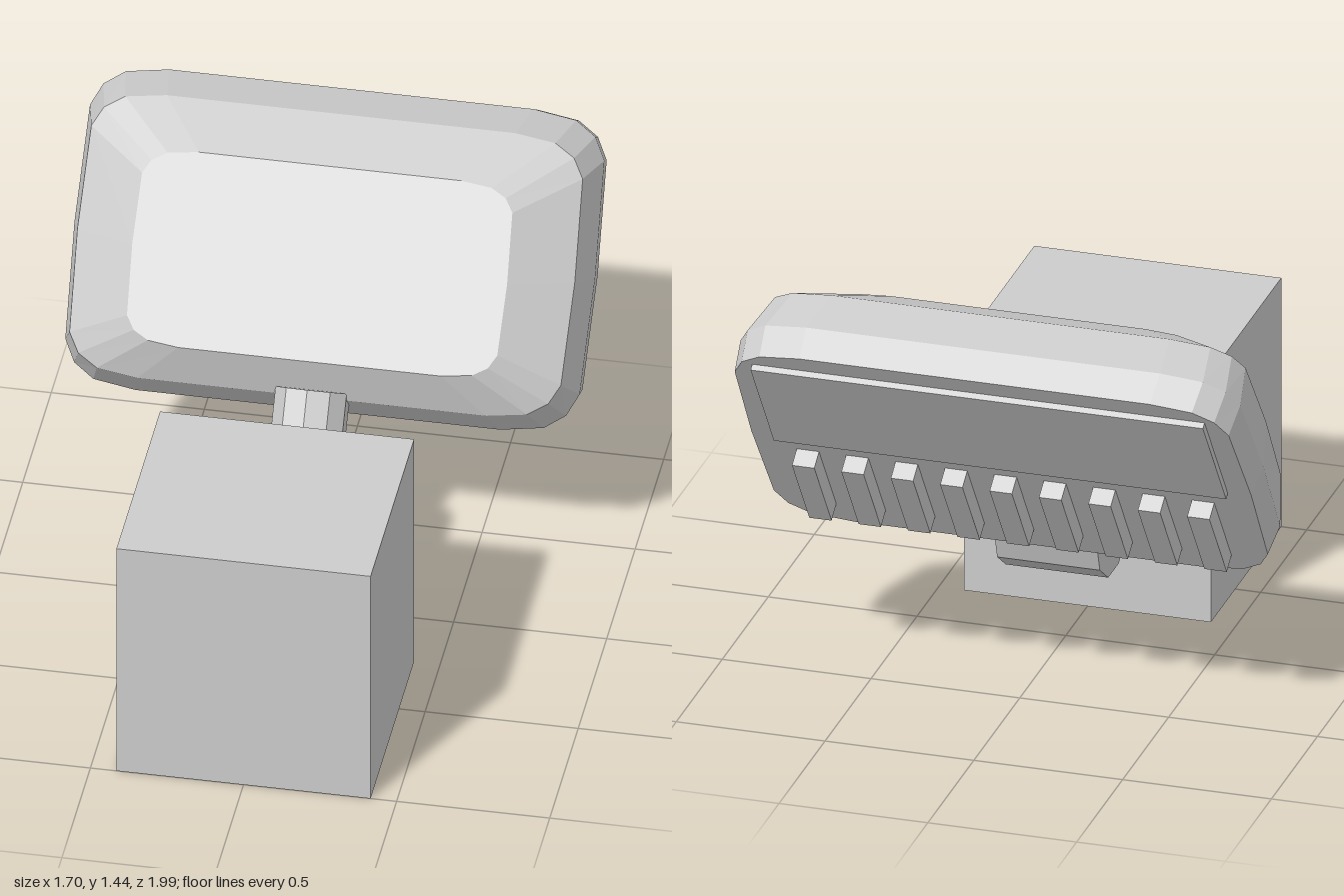
import * as THREE from 'three';

export function createModel() {
  const model = new THREE.Group();
  const grey = new THREE.MeshStandardMaterial({ color: 0xcccccc, flatShading: true });
  grey.name = 'light grey';

  const add = (parent, name, geometry, x, y, z) => {
    const mesh = new THREE.Mesh(geometry, grey);
    mesh.name = name;
    mesh.position.set(x, y, z);
    parent.add(mesh);
    return mesh;
  };

  // Mounting block and the arm that leaves its back
  add(model, 'mountingBlock', new THREE.BoxGeometry(0.83, 0.88, 0.765), 0, 0.44, 0.6175);
  const arm = add(model, 'horizontalArm', new THREE.CylinderGeometry(0.125, 0.125, 0.3, 10), 0, 0.445, 0.11);
  arm.rotation.x = Math.PI / 2;

  // Hinge drum across the model
  const hinge = add(model, 'hinge', new THREE.CylinderGeometry(0.183, 0.183, 0.345, 10), 0, 0.445, -0.04);
  hinge.rotation.z = Math.PI / 2;

  // Everything on the lamp leans back by 35 degrees
  const lamp = new THREE.Group();
  lamp.name = 'lamp';
  lamp.rotation.x = -THREE.MathUtils.degToRad(35);
  model.add(lamp);

  add(lamp, 'tiltedArm', new THREE.CylinderGeometry(0.122, 0.122, 0.315, 10), 0, 0.54, 0.223);

  // Housing: rounded rectangles lofted from back to front
  // each ring: [half width, bottom, top, depth]
  add(lamp, 'housing', loftHousing([
    [0.84, 0.649, 1.664, -0.047],
    [0.85, 0.632, 1.667, 0.069],
    [0.812, 0.675, 1.588, 0.243],
    [0.612, 0.789, 1.42, 0.362],
  ]), 0, 0, 0);

  // Back cover plate and cooling fins
  add(lamp, 'backPlate', new THREE.BoxGeometry(1.52, 0.441, 0.04), 0, 1.3695, -0.049);
  for (let i = -4; i <= 4; i++) {
    add(lamp, 'coolingFin', new THREE.BoxGeometry(0.075, 0.327, 0.08), i * 0.166, 0.9125, -0.07);
  }
  return model;
}

// Closed loft through rounded rectangles, capped at both ends
function loftHousing(rings) {
  const q = [[1, 0], [0.988, 0.73], [0.945, 0.87], [0.865, 0.96], [0.7, 1]];
  const back = [...q].reverse();
  const outline = [
    ...q,
    ...back.map(([x, y]) => [-x, y]),
    ...q.slice(1).map(([x, y]) => [-x, -y]),
    ...back.slice(0, -1).map(([x, y]) => [x, -y]),
  ];
  const n = outline.length;
  const positions = [];
  for (const [w, bottom, top, z] of rings) {
    const mid = (bottom + top) / 2, h = (top - bottom) / 2;
    for (const [x, y] of outline) positions.push(x * w, mid + y * h, z);
  }
  const index = [];
  for (let r = 0; r < rings.length - 1; r++) {
    for (let i = 0; i < n; i++) {
      const a = r * n + i, b = r * n + (i + 1) % n;
      index.push(a, b, b + n, a, b + n, a + n);
    }
  }
  const front = (rings.length - 1) * n;
  for (let i = 1; i < n - 1; i++) {
    index.push(0, i + 1, i, front, front + i, front + i + 1);
  }
  const indexed = new THREE.BufferGeometry();
  indexed.setAttribute('position', new THREE.Float32BufferAttribute(positions, 3));
  indexed.setIndex(index);
  const geometry = indexed.toNonIndexed();
  geometry.computeVertexNormals();
  return geometry;
}
